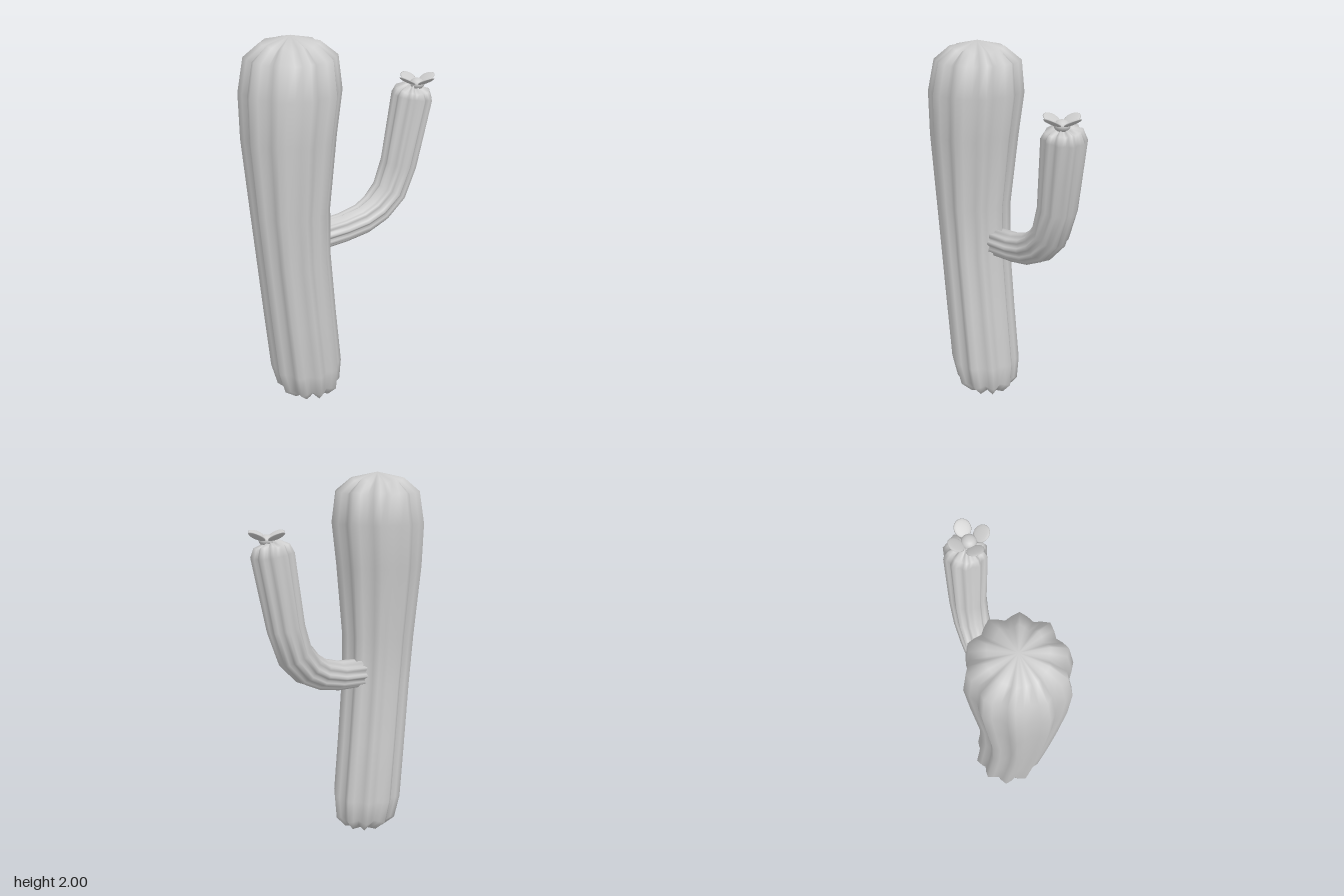
import * as THREE from 'three';
import { mergeVertices } from 'three/addons/utils/BufferGeometryUtils.js';

const material = new THREE.MeshStandardMaterial({ color: 0xcccccc, roughness: 0.8 });

function addMesh(parent, name, geometry) {
  const mesh = new THREE.Mesh(geometry, material);
  mesh.name = name;
  parent.add(mesh);
  return mesh;
}

// Sweeps a ribbed section through rings [x, y, z, radius]; grooves are sunk
// along the profile normal so the ribs keep running over the rounded ends.
function ribbedStem(rings, ribs, depth, phase, upright) {
  const sides = ribs * 4;
  const centres = rings.map(([x, y, z]) => new THREE.Vector3(x, y, z));
  const positions = [], index = [];
  const last = rings.length - 1;

  rings.forEach(([, , , r], i) => {
    const lo = Math.max(i - 1, 0), hi = Math.min(i + 1, last);
    const t = centres[hi].clone().sub(centres[lo]);
    const ds = t.length(), dr = rings[hi][3] - rings[lo][3];
    const len = Math.hypot(ds, dr);
    if (upright) t.set(0, 1, 0); else t.normalize();
    const u = new THREE.Vector3(1, 0, 0).addScaledVector(t, -t.x).normalize();
    const v = u.clone().cross(t);

    for (let j = 0; j < sides; j++) {
      const a = (j / sides) * Math.PI * 2;
      const inset = r > 0 ? depth * (1 - Math.cos(a * ribs)) / 2 : 0;
      const radius = r - inset * ds / len;
      const p = centres[i].clone()
        .addScaledVector(u, Math.cos(a + phase) * radius)
        .addScaledVector(v, Math.sin(a + phase) * radius)
        .addScaledVector(t, inset * dr / len);
      positions.push(p.x, p.y, p.z);
      if (i < last) {
        const k = (j + 1) % sides, row = i * sides, next = row + sides;
        index.push(row + j, next + j, row + k, row + k, next + j, next + k);
      }
    }
  });

  let geometry = new THREE.BufferGeometry();
  geometry.setAttribute('position', new THREE.Float32BufferAttribute(positions, 3));
  geometry.setIndex(index);
  geometry = mergeVertices(geometry);
  geometry.computeVertexNormals();
  return geometry;
}

export function createModel() {
  const cactus = new THREE.Group();
  cactus.name = 'cactus';

  // Leaning trunk, wider towards the crown
  addMesh(cactus, 'trunk', ribbedStem([
    [0.015, 0.00, 0.20, 0],
    [0.015, 0.02, 0.203, 0.11],
    [0.012, 0.075, 0.215, 0.172],
    [0.012, 0.20, 0.23, 0.193],
    [0.012, 0.52, 0.266, 0.193],
    [0.012, 0.85, 0.30, 0.194],
    [0.010, 1.12, 0.315, 0.205],
    [0.003, 1.50, 0.31, 0.24],
    [0.000, 1.73, 0.293, 0.257],
    [-0.005, 1.90, 0.283, 0.232],
    [-0.005, 1.97, 0.285, 0.145],
    [-0.005, 2.00, 0.285, 0],
  ], 10, 0.032, THREE.MathUtils.degToRad(84), true));

  // Side arm curving up behind the trunk
  addMesh(cactus, 'arm', ribbedStem([
    [0.00, 0.925, 0.15, 0],
    [0.00, 0.925, 0.135, 0.078],
    [0.015, 0.937, -0.02, 0.08],
    [0.035, 0.965, -0.14, 0.085],
    [0.045, 1.01, -0.23, 0.092],
    [0.055, 1.095, -0.315, 0.098],
    [0.065, 1.245, -0.37, 0.102],
    [0.09, 1.61, -0.43, 0.114],
    [0.095, 1.655, -0.43, 0.093],
    [0.10, 1.675, -0.432, 0.045],
    [0.10, 1.68, -0.435, 0],
  ], 10, 0.018, 0.1, false));

  // Four-petalled flower on the arm tip
  const flower = new THREE.Group();
  flower.name = 'flower';
  flower.position.set(0.117, 1.67, -0.44);
  cactus.add(flower);

  const heart = addMesh(flower, 'flowerCentre', new THREE.SphereGeometry(0.04, 16, 10));
  heart.scale.y = 0.75;
  heart.position.y = 0.01;

  for (let i = 0; i < 4; i++) {
    const holder = new THREE.Group();
    holder.name = 'petalHolder';
    holder.rotation.y = i * Math.PI / 2;
    flower.add(holder);
    const petal = addMesh(holder, 'petal', new THREE.SphereGeometry(1, 16, 8));
    petal.scale.set(0.047, 0.007, 0.044);
    petal.position.set(0.068, 0.033, 0);
    petal.rotation.z = 0.52;
  }

  return cactus;
}
